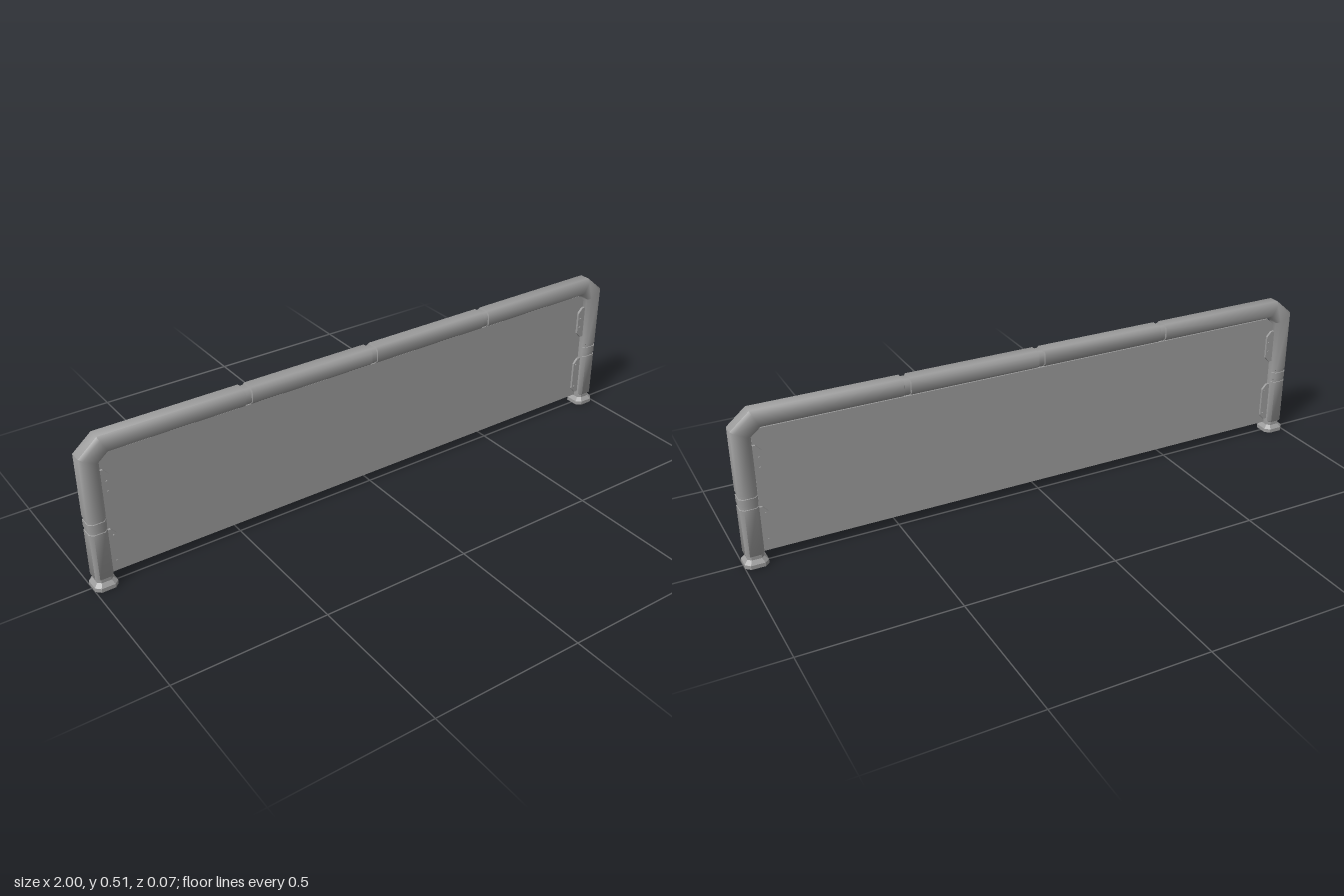
import * as THREE from 'three';
import { toCreasedNormals } from 'three/addons/utils/BufferGeometryUtils.js';

const material = new THREE.MeshStandardMaterial({ color: 0x9c9c9c });

function mesh(name, geometry, parent) {
  const m = new THREE.Mesh(geometry, material);
  m.name = name;
  parent.add(m);
  return m;
}

// Bevelled rectangle ring; o is the outer edge, i the inner edge, hz the half depth, r the bevel
function ring({ o, i, hz, r }) {
  const half = Math.hypot(o[0] - i[0], o[1] - i[1]) / 2, u = 1 - r / half, w = hz - r;
  const corners = [[1, w], [u, hz], [-u, hz], [-1, w], [-1, -w], [-u, -hz], [u, -hz], [1, -w]];
  return corners.map(([s, z]) => [
    (o[0] + i[0]) / 2 + s * (o[0] - i[0]) / 2,
    (o[1] + i[1]) / 2 + s * (o[1] - i[1]) / 2,
    z,
  ]);
}

// Skin through the rings, closed at both ends
function loft(stations, crease) {
  const rings = stations.map(ring), n = rings[0].length, index = [];
  for (let s = 0; s < rings.length - 1; s++) {
    for (let k = 0; k < n; k++) {
      const a = s * n + k, b = s * n + (k + 1) % n;
      index.push(a, b, b + n, a, b + n, a + n);
    }
  }
  const last = (rings.length - 1) * n;
  for (let k = 1; k < n - 1; k++) index.push(0, k + 1, k, last, last + k, last + k + 1);
  const g = new THREE.BufferGeometry();
  g.setAttribute('position', new THREE.Float32BufferAttribute(rings.flat(2), 3));
  g.setIndex(index);
  return toCreasedNormals(g, crease);
}

function frameGeometry() {
  const OUT = 0.994, IN = 0.936, TOP = 0.507, LOW = 0.451, HZ = 0.03;
  const st = (o, i, d = 0) => ({ o, i, hz: HZ - d, r: 0.011 });
  const post = (y, d = 0) => st([-OUT + d, y], [-IN, y], d);
  const bar = (x, d = 0) => st([x, TOP - d], [x, LOW], d);
  // Left half: post with two shallow grooves, bevelled corner, top bar with one groove
  const half = [post(0.038, 0.002), post(0.04)];
  for (const y of [0.204, 0.24]) half.push(post(y - 0.006), post(y - 0.005, 0.002), post(y + 0.005, 0.002), post(y + 0.006));
  half.push(st([-OUT, 0.455], [-IN, 0.425]), st([-0.933, TOP], [-0.905, LOW]));
  const groove = x => [bar(x - 0.011), bar(x - 0.009, 0.004), bar(x + 0.009, 0.004), bar(x + 0.011)];
  half.push(...groove(-0.455));
  const right = half.slice().reverse().map(s => ({ ...s, o: [-s.o[0], s.o[1]], i: [-s.i[0], s.i[1]] }));
  return loft([...half, ...groove(0), ...right], 0.95);
}

// Flared foot with a recessed underside
function footGeometry() {
  const profile = [[0.018, 0.02], [0, 0.024], [0, 0.037], [0.013, 0.037], [0.025, 0.026], [0.045, 0.026]];
  return loft(profile.map(([y, h]) => ({ o: [-h, y], i: [h, y], hz: h, r: h * 0.4 })), 0.5);
}

function plate(points, depth) {
  const g = new THREE.ExtrudeGeometry(new THREE.Shape(points.map(p => new THREE.Vector2(...p))), { depth, bevelEnabled: false });
  return g.translate(0, 0, -depth / 2);
}

export function createModel() {
  const model = new THREE.Group();
  model.name = 'barrier';
  mesh('tubeFrame', frameGeometry(), model);

  // Infill panel with clipped upper corners
  mesh('panel', plate([[-0.932, 0.033], [0.932, 0.033], [0.932, 0.418], [0.908, 0.441], [-0.908, 0.441], [-0.932, 0.418]], 0.008), model);

  const foot = footGeometry();
  const bolt = new THREE.CylinderGeometry(0.0035, 0.0035, 0.03, 10).rotateX(Math.PI / 2);
  for (const side of [-1, 1]) {
    const label = side > 0 ? 'left' : 'right';
    mesh(label + 'Foot', foot, model).position.x = side * 0.963;

    // Two bolted clamps hold the panel to each post
    for (const [y0, y1, bolts] of [[0.05, 0.188, [0.075, 0.165]], [0.278, 0.392, [0.318, 0.352]]]) {
      const clamp = new THREE.Group();
      clamp.name = label + 'Clamp';
      const pts = [[0.94, y0], [0.924, y0], [0.908, y0 + 0.018], [0.908, y1 - 0.018], [0.924, y1], [0.94, y1]];
      mesh('clampPlate', plate(pts.map(([x, y]) => [side * x, y]), 0.024), clamp);
      for (const y of bolts) mesh('clampBolt', bolt, clamp).position.set(side * 0.917, y, 0);
      model.add(clamp);
    }
  }
  return model;
}
